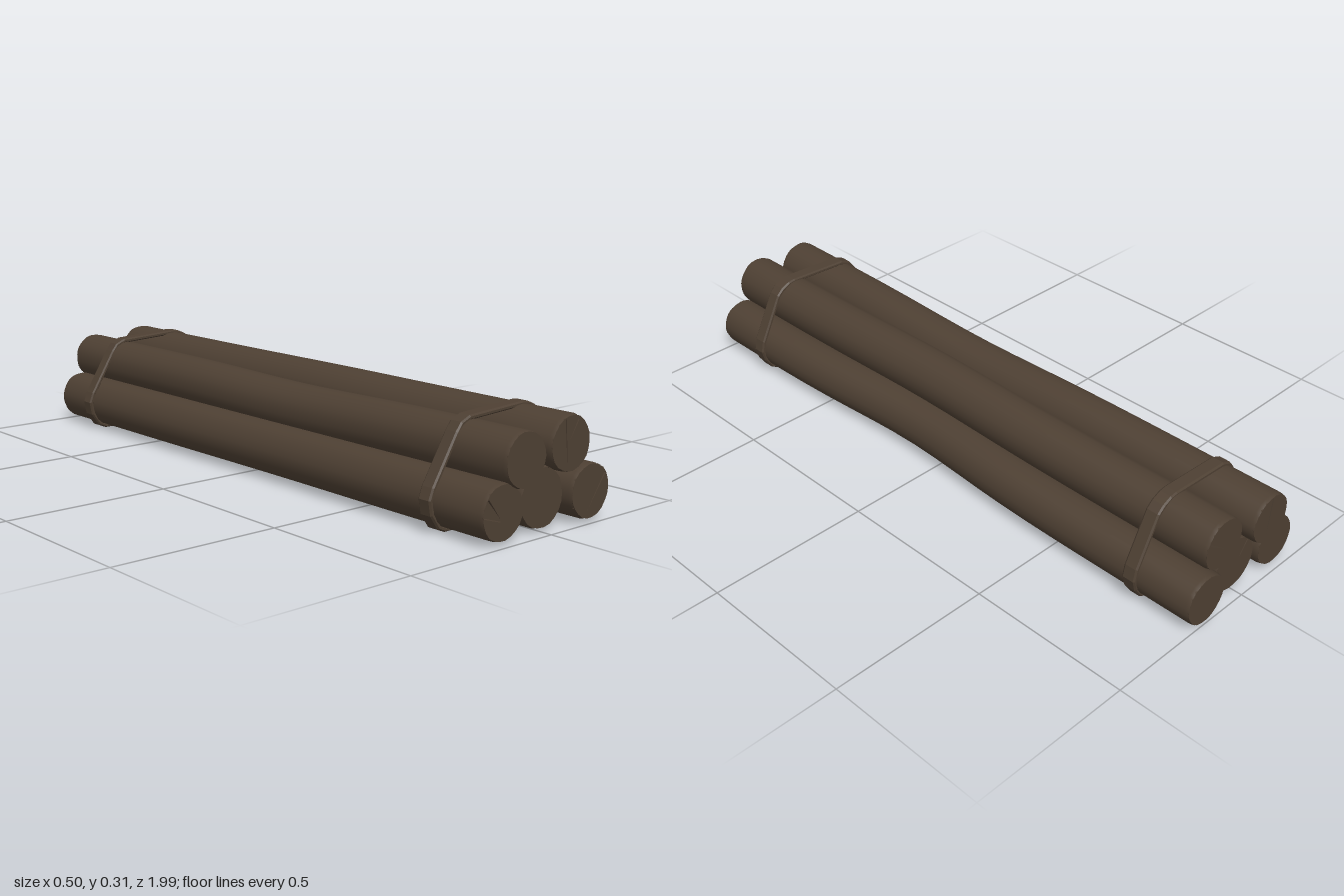
import * as THREE from 'three';
import { mergeVertices } from 'three/addons/utils/BufferGeometryUtils.js';

const SEGMENTS = 22;
const CRACK_DEPTH = 0.03;

// Centre, radius, z extent, mid-length bend, and cracks [rim x, rim y, tip x, tip y] per end
const LOGS = [
  { name: 'lowerRightLog', x: -0.162, y: 0.083, r: 0.076, z: [-0.98, 0.98], bend: [0.004, 0], seed: 1,
    front: [[-0.232, 0.082, -0.103, 0.039], [-0.218, 0.125, -0.172, 0.069]], back: [] },
  { name: 'lowerMiddleLog', x: 0, y: 0.089, r: 0.083, z: [-0.965, 0.965], bend: [0, -0.004], seed: 2,
    front: [[0.078, 0.098, 0, 0.094]], back: [[-0.05, 0.145, -0.01, 0.09]] },
  { name: 'lowerLeftLog', x: 0.164, y: 0.085, r: 0.076, z: [-1, 0.99], bend: [-0.028, 0], seed: 3,
    front: [[0.222, 0.128, 0.152, 0.03], [0.1, 0.049, 0.163, 0.071]], back: [] },
  { name: 'upperRightLog', x: -0.093, y: 0.209, r: 0.075, z: [-1, 0.99], bend: [0.004, -0.01], seed: 4,
    front: [], back: [[-0.093, 0.277, -0.08, 0.16]] },
  { name: 'upperLeftLog', x: 0.09, y: 0.221, r: 0.077, z: [-0.985, 0.98], bend: [-0.008, 0.004], seed: 5,
    front: [[0.066, 0.287, 0.079, 0.15], [0.118, 0.284, 0.084, 0.23]], back: [[0.15, 0.25, 0.08, 0.2]] },
];

// Slightly uneven bark outline
const outline = (log, a) =>
  log.r * (1 + 0.012 * Math.sin(3 * a + log.seed * 2) + 0.01 * Math.sin(7 * a + log.seed * 5));

// Bark tube, gently bent along its length with worn rims
function barkGeometry(log) {
  const [z0, z1] = log.z;
  const rows = 20;
  const geo = new THREE.CylinderGeometry(1, 1, 1, SEGMENTS, rows, true);
  geo.rotateX(Math.PI / 2);
  const p = geo.attributes.position;
  for (let i = 0; i < p.count; i++) {
    const a = Math.atan2(p.getY(i), p.getX(i));
    const row = Math.round((p.getZ(i) + 0.5) * rows);
    let z = z0 + (z1 - z0) * row / rows;
    if (row === 1) z = z0 + 0.012;
    if (row === rows - 1) z = z1 - 0.012;
    const rim = row === 0 || row === rows ? 0.965 : 1;
    const bend = Math.exp(-(((z - 0.12) / 0.34) ** 2));
    const r = outline(log, a) * rim;
    p.setXYZ(i, log.x + r * Math.cos(a) + log.bend[0] * bend,
      log.y + r * Math.sin(a) + log.bend[1] * bend, z);
  }
  geo.deleteAttribute('uv');
  geo.deleteAttribute('normal');
  const smooth = mergeVertices(geo, 1e-5);
  smooth.computeVertexNormals();
  return smooth;
}

// Cut end with wedge-shaped cracks
function endGeometry(log, cracks) {
  const pts = [];
  for (let i = 0; i < SEGMENTS; i++) {
    const a = i / SEGMENTS * Math.PI * 2;
    const r = outline(log, a) * 0.965;
    pts.push(new THREE.Vector2(log.x + r * Math.cos(a), log.y + r * Math.sin(a)));
  }
  const shape = new THREE.Shape(pts);
  for (const [x0, y0, x1, y1] of cracks) {
    const len = Math.hypot(x1 - x0, y1 - y0);
    const nx = -(y1 - y0) / len * 0.0025, ny = (x1 - x0) / len * 0.0025;
    shape.holes.push(new THREE.Path([
      new THREE.Vector2(x0 + nx, y0 + ny), new THREE.Vector2(x0 - nx, y0 - ny), new THREE.Vector2(x1, y1),
    ]));
  }
  return new THREE.ExtrudeGeometry(shape, { depth: CRACK_DEPTH, bevelEnabled: false });
}

// Strap outline hugging the stack, counter-clockwise
const STRAP = [
  [-0.19, 0], [0.182, 0], [0.216, 0.018], [0.24, 0.052], [0.25, 0.088], [0.242, 0.125],
  [0.168, 0.27], [0.147, 0.289], [0.118, 0.302], [0.095, 0.305], [-0.106, 0.295],
  [-0.138, 0.281], [-0.156, 0.258], [-0.238, 0.124], [-0.25, 0.092], [-0.242, 0.05], [-0.214, 0.01],
].map(([x, y]) => new THREE.Vector2(x, y));

// Inward parallel copy of a closed outline
function inset(pts, d) {
  return pts.map((p, i) => {
    const a = p.clone().sub(pts[(i + pts.length - 1) % pts.length]).normalize();
    const b = pts[(i + 1) % pts.length].clone().sub(p).normalize();
    const n = new THREE.Vector2(-a.y - b.y, a.x + b.x).normalize();
    const cos = n.x * -a.y + n.y * a.x;
    return p.clone().addScaledVector(n, d / cos);
  });
}

function strapGeometry() {
  const shape = new THREE.Shape(STRAP);
  shape.holes.push(new THREE.Path(inset(STRAP, 0.014)));
  const geo = new THREE.ExtrudeGeometry(shape, {
    depth: 0.034, bevelEnabled: true, bevelThickness: 0.005, bevelSize: 0.004, bevelOffset: -0.004, bevelSegments: 1,
  });
  geo.translate(0, 0, -0.017);
  return geo;
}

export function createModel() {
  const model = new THREE.Group();
  model.name = 'logBundle';
  const wood = new THREE.MeshStandardMaterial({ color: 0x4e4033 });
  wood.name = 'dark brown wood';
  const add = (parent, name, geo, z = 0) => {
    const mesh = new THREE.Mesh(geo, wood);
    mesh.name = name;
    mesh.position.z = z;
    parent.add(mesh);
    return mesh;
  };

  for (const log of LOGS) {
    const group = new THREE.Group();
    group.name = log.name;
    model.add(group);
    add(group, 'bark', barkGeometry(log));
    add(group, 'frontEnd', endGeometry(log, log.front), log.z[1] - CRACK_DEPTH);
    add(group, 'backEnd', endGeometry(log, log.back), log.z[0]);
    // Floors of the cracks
    for (const side of [1, -1]) {
      const floor = new THREE.CircleGeometry(log.r * 0.94, SEGMENTS);
      if (side < 0) floor.rotateY(Math.PI);
      floor.translate(log.x, log.y, 0);
      const end = side > 0 ? log.z[1] : log.z[0];
      add(group, 'crackFloor', floor, end - side * (CRACK_DEPTH + 0.001));
    }
  }

  // Binding straps
  add(model, 'frontStrap', strapGeometry(), 0.79);
  add(model, 'backStrap', strapGeometry(), -0.805);
  return model;
}
